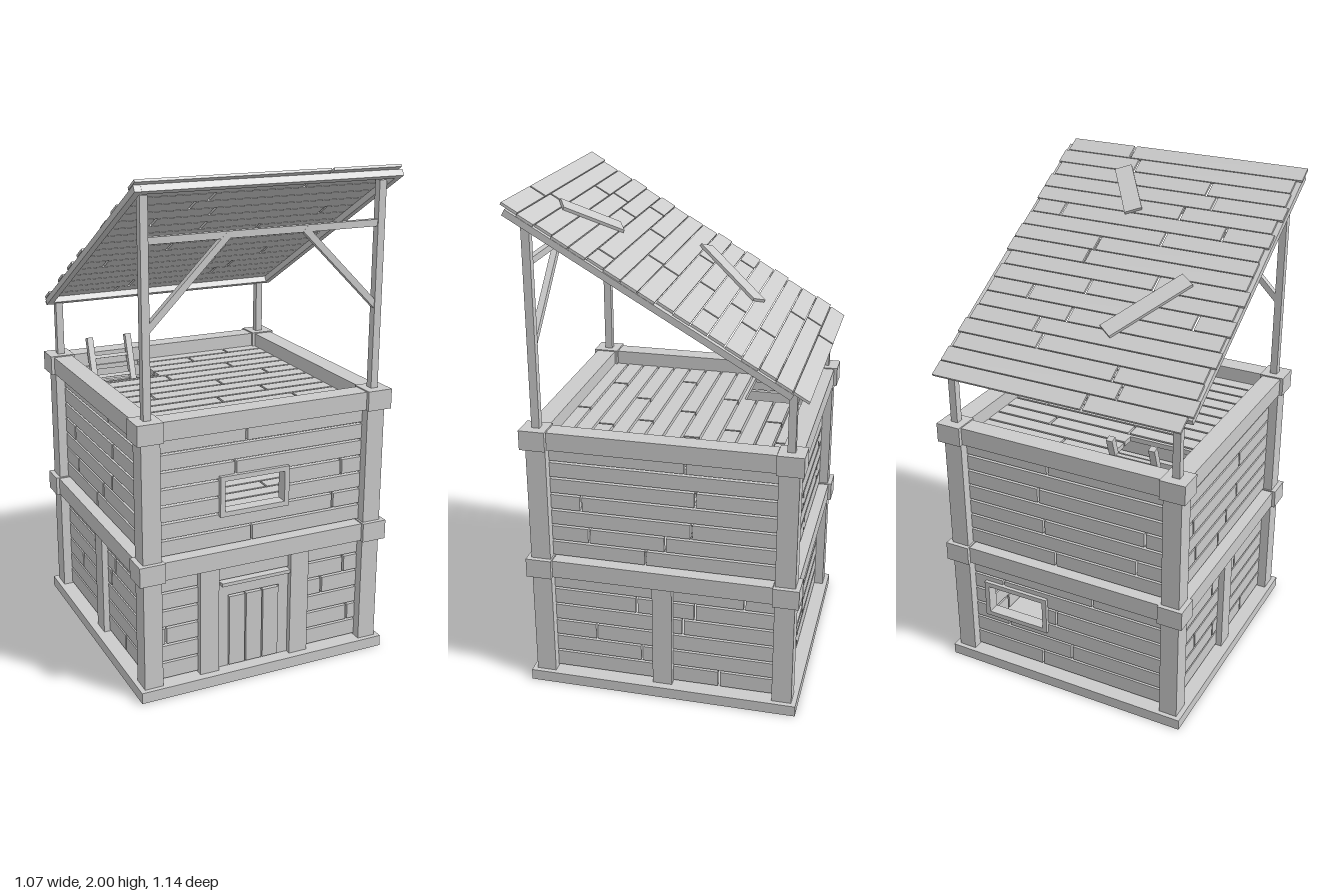
import * as THREE from 'three';

const material = new THREE.MeshStandardMaterial({ color: 0xcccccc, flatShading: true });

function group(name, parent) {
  const g = new THREE.Group();
  g.name = name;
  if (parent) parent.add(g);
  return g;
}

// Box given by its extents on each axis
function box(parent, name, x0, x1, y0, y1, z0, z1) {
  const m = new THREE.Mesh(new THREE.BoxGeometry(x1 - x0, y1 - y0, z1 - z0), material);
  m.position.set((x0 + x1) / 2, (y0 + y1) / 2, (z0 + z1) / 2);
  m.name = name;
  parent.add(m);
  return m;
}

// Rows of planks in the XY plane, split at seams and cut around an opening [x0, x1, y0, y1]
function plankPanel(parent, name, { x0, x1, y0, y1, seams, opening, thick = 0.02, gap = 0.009 }) {
  const g = group(name, parent);
  const pitch = (y1 - y0) / seams.length;
  const plank = (a, b, c, d) => {
    if (b - a > 0.004 && d - c > 0.003) box(g, 'plank', a, b, c, d, -thick / 2, thick / 2);
  };
  seams.forEach((row, i) => {
    const lo = y0 + i * pitch + gap / 2, hi = y0 + (i + 1) * pitch - gap / 2;
    const cuts = [x0, ...row, x1];
    for (let k = 0; k + 1 < cuts.length; k++) {
      const a = cuts[k] + (k ? gap / 2 : 0);
      const b = cuts[k + 1] - (k + 2 < cuts.length ? gap / 2 : 0);
      if (!opening || hi <= opening[2] || lo >= opening[3] || b <= opening[0] || a >= opening[1]) {
        plank(a, b, lo, hi);
        continue;
      }
      const [ox0, ox1, oy0, oy1] = opening;
      plank(a, Math.min(b, ox0), lo, hi);
      plank(Math.max(a, ox1), b, lo, hi);
      plank(Math.max(a, ox0), Math.min(b, ox1), lo, Math.min(hi, oy0));
      plank(Math.max(a, ox0), Math.min(b, ox1), Math.max(lo, oy1), hi);
    }
  });
  return g;
}

// Rectangular frame around an opening
function windowFrame(parent, [x0, x1, y0, y1], w = 0.02) {
  const g = group('windowFrame', parent);
  const d = 0.025;
  box(g, 'sill', x0 - w, x1 + w, y0 - w, y0, -d, d);
  box(g, 'head', x0 - w, x1 + w, y1, y1 + w, -d, d);
  box(g, 'jamb', x0 - w, x0, y0, y1, -d, d);
  box(g, 'jamb', x1, x1 + w, y0, y1, -d, d);
}

// Ladder leaning in the YZ plane from foot to top
function ladder(parent, name, y0, z0, y1, z1) {
  const g = group(name, parent);
  const len = Math.hypot(y1 - y0, z1 - z0);
  g.position.set(-0.272, y0, z0);
  g.rotation.x = Math.atan2(z1 - z0, y1 - y0);
  for (const s of [-1, 1]) box(g, 'ladderRail', s * 0.087 - 0.013, s * 0.087 + 0.013, 0, len, -0.013, 0.013);
  const n = Math.floor(len / 0.085);
  for (let i = 1; i < n; i++) box(g, 'rung', -0.08, 0.08, i * 0.085 - 0.007, i * 0.085 + 0.007, -0.007, 0.007);
}

// Square beam between two points of the XY plane
function strut(parent, name, ax, ay, bx, by, z, w) {
  const m = box(parent, name, 0, Math.hypot(bx - ax, by - ay), -w / 2, w / 2, -w / 2, w / 2);
  m.position.set((ax + bx) / 2, (ay + by) / 2, z);
  m.rotation.z = Math.atan2(by - ay, bx - ax);
}

export function createModel() {
  const model = group('watchtower');
  const tower = group('tower', model);
  tower.position.z = -0.007;
  box(tower, 'baseSlab', -0.535, 0.535, 0, 0.045, -0.552, 0.552);

  // Corner posts, collar blocks and bands
  for (const sx of [-1, 1]) for (const sz of [-1, 1]) {
    const corner = group('corner', tower);
    corner.position.set(sx * 0.477, 0, sz * 0.493);
    box(corner, 'cornerPost', -0.038, 0.038, 0.045, 1.06, -0.04, 0.04);
    for (const y of [0.49, 1.047]) box(corner, 'collarBlock', -0.048, 0.056, y, y + 0.08, -0.048, 0.056).position.set(sx * 0.006, y + 0.04, sz * 0.006);
  }
  for (const y of [0.494, 1.05]) for (const s of [-1, 1]) {
    const front = box(tower, 'band', -0.43, 0.43, y, y + 0.073, -0.04, 0.04);
    front.position.z = s * 0.497;
    const side = box(tower, 'band', -0.04, 0.04, y, y + 0.073, -0.445, 0.445);
    side.position.x = s * 0.482;
  }

  // Plank walls on four sides, seams listed from the bottom row up
  const upper = [[-0.045], [0.315], [-0.095], [0.35], [-0.115], [], [-0.07]];
  const sideUpper = [[-0.07], [-0.3, 0.01], [0.115], [-0.33], [0.13], [], [0.09]];
  const lower = [[], [0.4], [-0.41], [0.275], [0.375], []];
  const backLower = [[-0.12], [0.02], [-0.28], [-0.05], [-0.3], [0.12]];
  const sideLower = [[0.23], [-0.09], [-0.28], [0.08], [-0.11, 0.13], [0.33]];
  const frontWindow = [-0.165, 0.09, 0.715, 0.84];
  const backWindow = [-0.365, -0.11, 0.25, 0.375];
  const doorway = [-0.195, 0.12, 0.045, 0.41];
  const walls = [
    ['frontWall', 0, 0, 0.485, 0.45, upper, lower, frontWindow, doorway],
    ['backWall', Math.PI, 0, -0.485, 0.45, upper, backLower, null, backWindow],
    ['leftWall', Math.PI / 2, 0.467, 0, 0.46, sideUpper, sideLower],
    ['rightWall', -Math.PI / 2, -0.467, 0, 0.46, sideUpper, sideLower],
  ];
  for (const [name, turn, x, z, half, up, low, upHole, lowHole] of walls) {
    const wall = group(name, tower);
    wall.position.set(x, 0, z);
    wall.rotation.y = turn;
    plankPanel(wall, 'upperPlanks', { x0: -half, x1: half, y0: 0.569, y1: 1.052, seams: up, opening: upHole });
    plankPanel(wall, 'lowerPlanks', { x0: -half, x1: half, y0: 0.048, y1: 0.494, seams: low, opening: lowHole });
    if (upHole) windowFrame(wall, upHole);
    if (name === 'backWall') windowFrame(wall, lowHole);
    if (name === 'frontWall') {
      // Door posts, door surround and boards
      for (const px of [-0.235, 0.16]) box(wall, 'doorPost', px - 0.04, px + 0.04, 0.045, 0.494, -0.035, 0.035);
      box(wall, 'doorJamb', -0.195, -0.145, 0.045, 0.405, -0.02, 0.012);
      box(wall, 'doorJamb', 0.077, 0.12, 0.045, 0.405, -0.02, 0.012);
      box(wall, 'doorHead', -0.145, 0.077, 0.355, 0.405, -0.02, 0.012);
      box(wall, 'lintel', -0.178, 0.12, 0.403, 0.417, -0.02, 0.03);
      for (let i = 0; i < 3; i++) box(wall, 'doorBoard', -0.143 + i * 0.074, -0.075 + i * 0.074, 0.05, 0.35, -0.01, 0.02);
      for (const y of [0.11, 0.28]) box(wall, 'doorBatten', -0.14, 0.07, y, y + 0.03, -0.025, -0.01);
    } else if (name !== 'backWall') {
      box(wall, 'middlePost', -0.04, 0.04, 0.045, 0.494, -0.035, 0.035);
    }
  }

  // Plank floors with a hatch each, and the ladders through them
  const floorSeams = [[0.1], [-0.2], [0.25], [-0.05], [0.18], [-0.28], [0.05], [0.3], [-0.12], [0.2], [-0.3], [0.08], [0.28]];
  for (const [name, y, hatch] of [['middleFloor', 0.53, [-0.4, -0.14, -0.02, 0.2]], ['topDeck', 1.055, [-0.4, -0.14, 0.2, 0.45]]]) {
    const floor = plankPanel(tower, name, { x0: -0.455, x1: 0.455, y0: -0.47, y1: 0.47, seams: floorSeams, opening: hatch });
    floor.rotation.x = -Math.PI / 2;
    floor.position.y = y;
  }
  ladder(tower, 'upperLadder', 0.545, -0.235, 1.19, -0.455);
  ladder(tower, 'lowerLadder', 0.045, -0.27, 0.62, -0.02);

  // Roof posts, front rail and braces
  const frame = group('roofFrame', model);
  for (const s of [-1, 1]) {
    const x = s * 0.479;
    box(frame, 'frontRoofPost', x - 0.015, x + 0.015, 1.12, 1.935, 0.472, 0.504);
    box(frame, 'backRoofPost', x - 0.015, x + 0.015, 1.12, 1.365, -0.517, -0.487);
    strut(frame, 'brace', s * 0.48, 1.45, s * 0.155, 1.775, 0.488, 0.025);
  }
  box(frame, 'frontRail', -0.485, 0.485, 1.763, 1.789, 0.476, 0.5);

  // Sloping roof, planks listed from the low edge up: left end, seams, right end
  const roof = group('roof', model);
  const slope = Math.PI / 6, c = Math.cos(slope);
  roof.position.y = 1.667;
  roof.rotation.x = -slope;
  const rows = [
    [-0.515, -0.12, 0.53], [-0.535, -0.23, 0.53], [-0.52, -0.18, 0.515], [-0.515, 0.175, 0.53], [-0.535, 0.225, 0.515],
    [-0.52, 0.115, 0.51], [-0.535, -0.385, 0.325, 0.51], [-0.515, 0.1, 0.515], [-0.535, -0.16, 0.505], [-0.515, 0.175, 0.53],
    [-0.515, 0.16, 0.53], [-0.51, -0.1, 0.525], [-0.525, -0.33, 0.385, 0.515], [-0.51, -0.12, 0.53], [-0.53, -0.23, 0.53],
    [-0.515, -0.18, 0.515], [-0.51, 0.175, 0.53], [-0.535, 0.225, 0.515]];
  const pitch = 0.063 / c;
  rows.forEach((cuts, i) => {
    const z = (i - rows.length / 2) * pitch;
    for (let k = 0; k + 1 < cuts.length; k++) {
      const a = cuts[k] + (k ? 0.005 : 0), b = cuts[k + 1] - (k + 2 < cuts.length ? 0.005 : 0);
      box(roof, 'roofPlank', a, b, -0.005, 0.005, z + 0.002, z + pitch - 0.002);
    }
  });
  // Edge rafters and cross rails under the planks
  for (const s of [-1, 1]) box(roof, 'rafter', s * 0.519 - 0.013, s * 0.519 + 0.013, -0.03, -0.005, -0.59, 0.627);
  for (const z of [-0.578, 0.615]) box(roof, 'crossRail', -0.506, 0.506, -0.03, -0.005, z - 0.013, z + 0.013);
  // Loose patch boards
  for (const [x, z, len, turn] of [[-0.171, -0.1325, 0.376, 0.952], [0.151, 0.351, 0.263, -1.0]]) {
    const patch = box(roof, 'patchBoard', -len / 2, len / 2, -0.006, 0.006, -0.036, 0.036);
    patch.position.set(x, 0.012, z / c);
    patch.rotation.y = turn;
  }
  return model;
}
